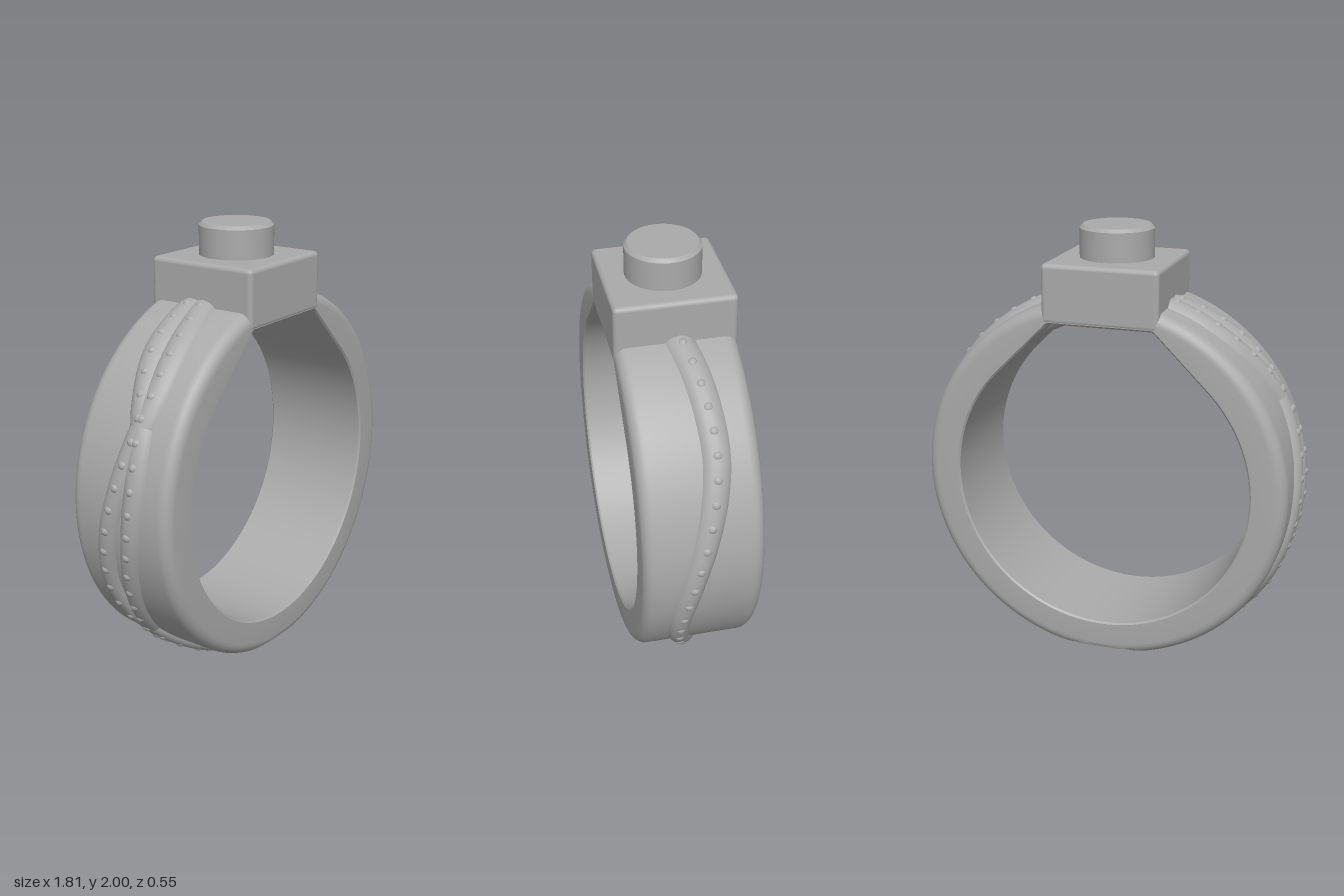
import * as THREE from 'three';
import { toCreasedNormals } from 'three/addons/utils/BufferGeometryUtils.js';
import { RoundedBoxGeometry } from 'three/addons/geometries/RoundedBoxGeometry.js';

const CY = 0.835;   // height of the ring centre
const OUT = 0.867;  // outer radius of the band
const IN = 0.70;    // finger hole radius
const W = 0.27;     // half width of the band
const TOP = 0.897;  // outermost radius of the strands
const RAD = Math.PI / 180;

// Sweeps a closed loop of [radius, z] points round the ring, clipped by the flat base.
function sweep(steps, section) {
  const pos = [], index = [];
  let n = 0;
  for (let i = 0; i <= steps; i++) {
    const { deg, loop } = section(i / steps);
    const a = deg * RAD;
    n = loop.length;
    for (const [r, z] of loop) {
      pos.push(r * Math.sin(a), Math.max(0, CY + r * Math.cos(a)), z);
    }
  }
  for (let i = 0; i < steps; i++) {
    for (let j = 0; j < n; j++) {
      const a = i * n + j, b = i * n + (j + 1) % n;
      index.push(a, b, a + n, b, b + n, a + n);
    }
  }
  const g = new THREE.BufferGeometry();
  g.setAttribute('position', new THREE.Float32BufferAttribute(pos, 3));
  g.setIndex(index);
  return toCreasedNormals(g, 35 * RAD);
}

// Inner radius: a circle that opens into two straight shoulders under the head.
function innerRadius(deg) {
  const a = Math.abs(deg) * RAD;
  if (a >= Math.PI / 4) return IN;
  return Math.min(IN / Math.cos(Math.PI / 4 - a), 0.745 / Math.cos(a));
}

function bandGeometry() {
  const f = 0.055, c = 0.008;
  return sweep(240, (t) => {
    const deg = -180 + 360 * t;
    const ri = innerRadius(deg);
    const half = [];
    for (let k = 0; k <= 6; k++) {
      const p = (k / 6) * Math.PI / 2;
      half.push([OUT - f + f * Math.sin(p), W - f + f * Math.cos(p)]);
    }
    const side = [[ri, W - c], [ri + c, W], ...half];
    const loop = [...side.map(([r, z]) => [r, -z]), ...side.reverse()];
    return { deg, loop };
  });
}

// Decorative strand following [degrees from the top, z] points, with a row of beads.
function makeStrand(points, material) {
  const group = new THREE.Group();
  const path = new THREE.SplineCurve(points.map(([d, z]) => new THREE.Vector2(d, z)));
  path.arcLengthDivisions = 600;
  const thickness = (d) => THREE.MathUtils.lerp(0.087, 0.05, THREE.MathUtils.smoothstep(d, 20, 130));

  const geometry = sweep(140, (t) => {
    const p = path.getPointAt(t);
    const full = thickness(p.x);
    // Rounded start and end
    const e = Math.min(1, Math.min(t, 1 - t) / 0.035);
    const rho = full * Math.sqrt(Math.max(0.0004, 1 - (1 - e) * (1 - e)));
    const loop = [];
    for (let k = 0; k < 20; k++) {
      const a = (k / 20) * Math.PI * 2;
      loop.push([TOP - full + rho * Math.cos(a), p.y + rho * Math.sin(a)]);
    }
    return { deg: p.x, loop };
  });
  const body = new THREE.Mesh(geometry, material);
  body.name = 'strandBody';
  group.add(body);

  const beadShape = new THREE.SphereGeometry(0.024, 14, 10);
  const first = points[0][0], last = points[points.length - 1][0];
  for (let d = 13; d < 157; d += 6.7) {
    const p = path.getPointAt((d - first) / (last - first));
    const a = p.x * RAD, r = TOP - 0.017;
    const bead = new THREE.Mesh(beadShape, material);
    bead.name = 'bead';
    bead.position.set(r * Math.sin(a), CY + r * Math.cos(a), p.y);
    group.add(bead);
  }
  return group;
}

export function createModel() {
  const metal = new THREE.MeshStandardMaterial({ color: 0xaaaaaa });
  metal.name = 'greyMetal';
  const model = new THREE.Group();
  model.name = 'ring';
  const add = (geometry, name) => {
    const mesh = new THREE.Mesh(geometry, metal);
    mesh.name = name;
    model.add(mesh);
    return mesh;
  };

  add(bandGeometry(), 'band');

  // Square head and the round stud on top
  add(new RoundedBoxGeometry(0.545, 0.272, 0.545, 3, 0.022), 'head').position.y = 1.716;
  const stud = [[0, 1.8], [0.17, 1.8], [0.17, 1.985], [0.155, 2], [0, 2]]
    .map(([x, y]) => new THREE.Vector2(x, y));
  add(toCreasedNormals(new THREE.LatheGeometry(stud, 64), 30 * RAD), 'stud');

  // Winding strands: one on the left, its half-turn twin and a crossing one on the right
  const wave = [[9, 0.01], [18, -0.015], [30, -0.05], [42, -0.07], [54, -0.075], [66, -0.05],
    [80, 0], [94, 0.055], [110, 0.095], [125, 0.08], [141, 0.01], [152, -0.05], [166, -0.11]];
  const crossing = [[9, 0.045], [20, 0.05], [33, 0.046], [42, 0.028], [49, 0], [57, -0.035],
    [65, -0.07], [78, -0.085], [92, -0.07], [108, -0.03], [125, 0.015], [142, 0.05], [166, 0.07]];
  const left = makeStrand(wave, metal);
  left.name = 'leftStrand';
  const right = makeStrand(wave, metal);
  right.name = 'rightStrand';
  right.rotation.y = Math.PI;
  const cross = makeStrand(crossing, metal);
  cross.name = 'crossingStrand';
  cross.rotation.y = Math.PI;
  model.add(left, right, cross);

  return model;
}
